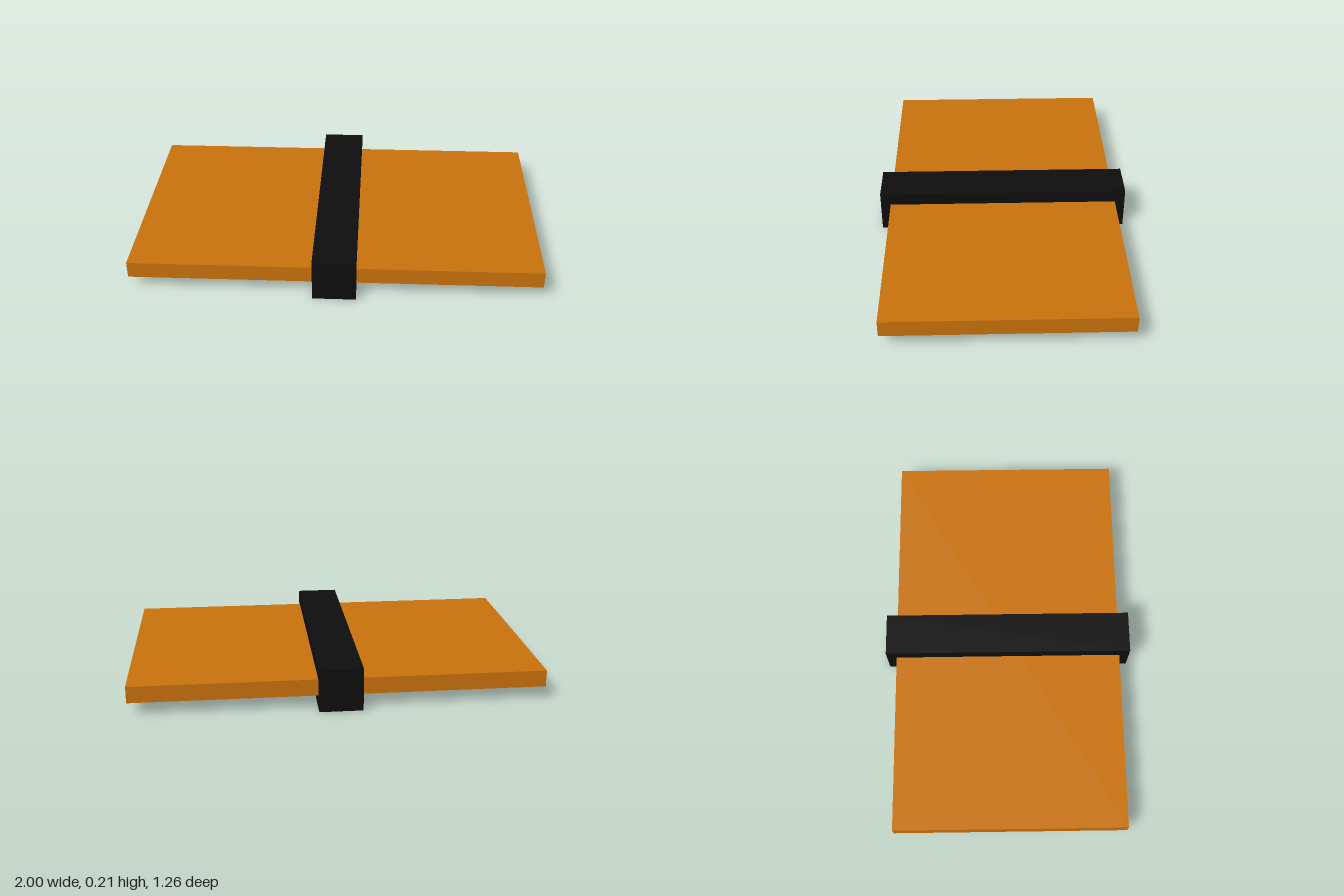
import * as THREE from 'three';

const HEIGHT = 0.21;

function addBlock(group, name, size, color) {
  const mesh = new THREE.Mesh(
    new THREE.BoxGeometry(...size),
    new THREE.MeshStandardMaterial({ color })
  );
  mesh.name = name;
  mesh.position.y = HEIGHT / 2;
  group.add(mesh);
}

export function createModel() {
  const group = new THREE.Group();
  group.name = 'bandedSlab';

  // Flat orange slab held at mid height
  addBlock(group, 'slab', [2, 0.082, 1.16], 0xc8720c);

  // Black band wrapped across the middle
  addBlock(group, 'band', [0.21, HEIGHT, 1.26], 0x0d0d0d);

  return group;
}
